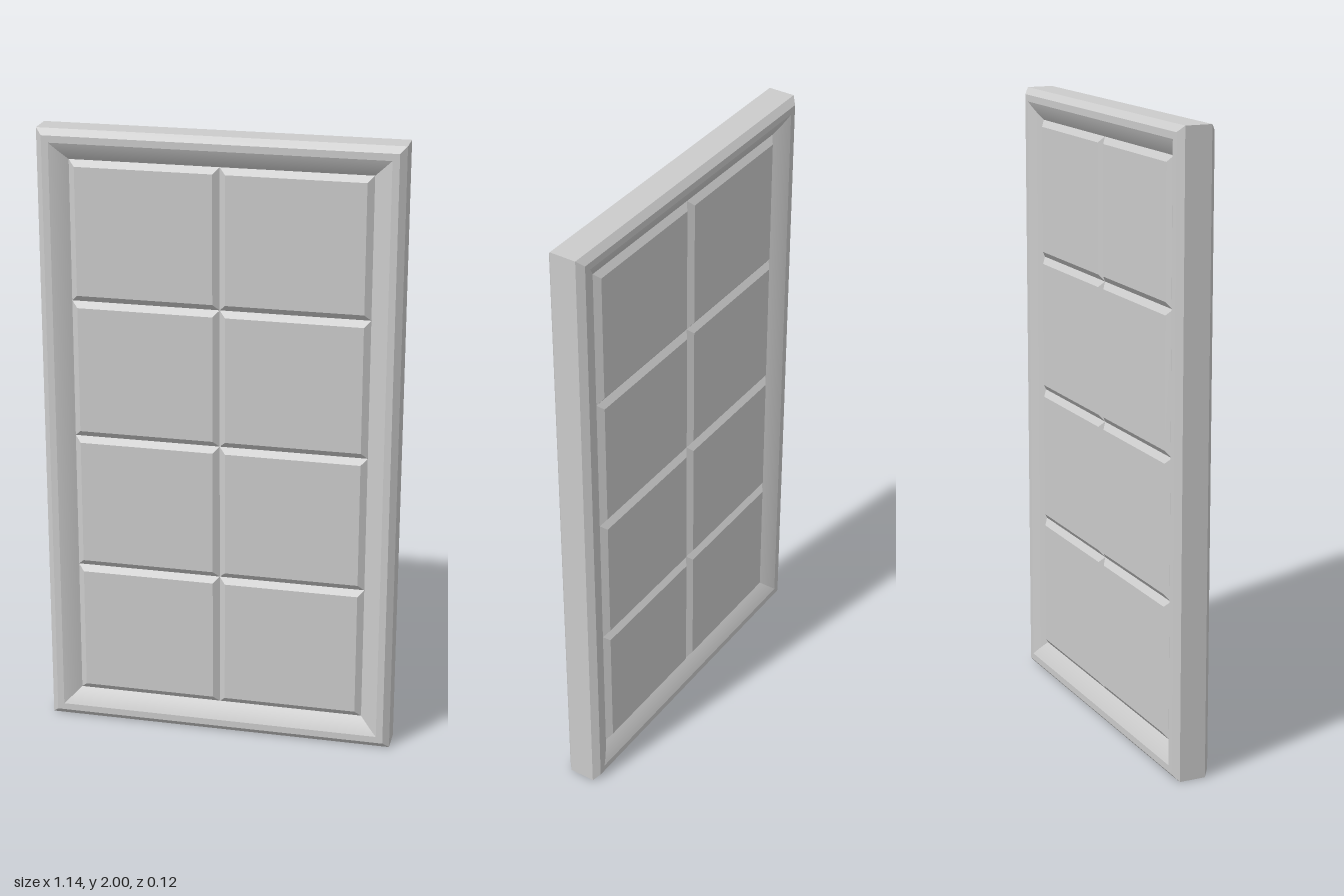
import * as THREE from 'three';
import { toCreasedNormals } from 'three/addons/utils/BufferGeometryUtils.js';

const W = 1.14, H = 2;

// Lofts a rectangle through [inset, z] steps, running front to back round the outside.
function moulding(w, h, profile, capped) {
  const loops = profile.map(([d, z]) => {
    const x = w / 2 - d, y = h / 2 - d;
    return [[-x, -y, z], [x, -y, z], [x, y, z], [-x, y, z]];
  });
  const pos = [];
  const quad = (a, b, c, d) => pos.push(...a, ...b, ...c, ...a, ...c, ...d);
  for (let i = 0; i < loops.length - 1; i++) {
    for (let j = 0; j < 4; j++) {
      const k = (j + 1) % 4;
      quad(loops[i][j], loops[i + 1][j], loops[i + 1][k], loops[i][k]);
    }
  }
  if (capped) {
    quad(...loops[0]);
    quad(...loops[loops.length - 1].slice().reverse());
  }
  const geo = new THREE.BufferGeometry();
  geo.setAttribute('position', new THREE.Float32BufferAttribute(pos, 3));
  return toCreasedNormals(geo, 0.3);
}

// Adds the mirrored back half to a front half profile.
const bothFaces = (half) => [...half, ...half.slice().reverse().map(([d, z]) => [d, -z])];

export function createModel() {
  const group = new THREE.Group();
  const material = new THREE.MeshStandardMaterial({ color: 0xcccccc });
  const add = (name, geo, x, y) => {
    const mesh = new THREE.Mesh(geo, material);
    mesh.name = name;
    mesh.position.set(x, y, 0);
    group.add(mesh);
  };

  // Mitred frame: rounded inner moulding, flat face, chamfered outer edge
  const inset = 0.097;
  const curve = new THREE.QuadraticBezierCurve(
    new THREE.Vector2(inset, 0.029), new THREE.Vector2(0.07, 0.049), new THREE.Vector2(0.042, 0.061));
  const half = [...curve.getPoints(8).map((p) => [p.x, p.y]), [0.02, 0.061], [0, 0.043]];
  add('frame', moulding(W, H, bothFaces(half)), 0, H / 2);

  // Eight raised panels whose bevels meet in V grooves
  const cols = 2, rows = 4;
  const pw = (W - 2 * inset) / cols, ph = (H - 2 * inset) / rows;
  const panel = moulding(pw, ph, bothFaces([[0.02, 0.044], [0, 0.029]]), true);
  for (let r = 0; r < rows; r++) {
    for (let c = 0; c < cols; c++) {
      add(`panel${r * cols + c + 1}`, panel, (c - (cols - 1) / 2) * pw, inset + (r + 0.5) * ph);
    }
  }
  return group;
}
